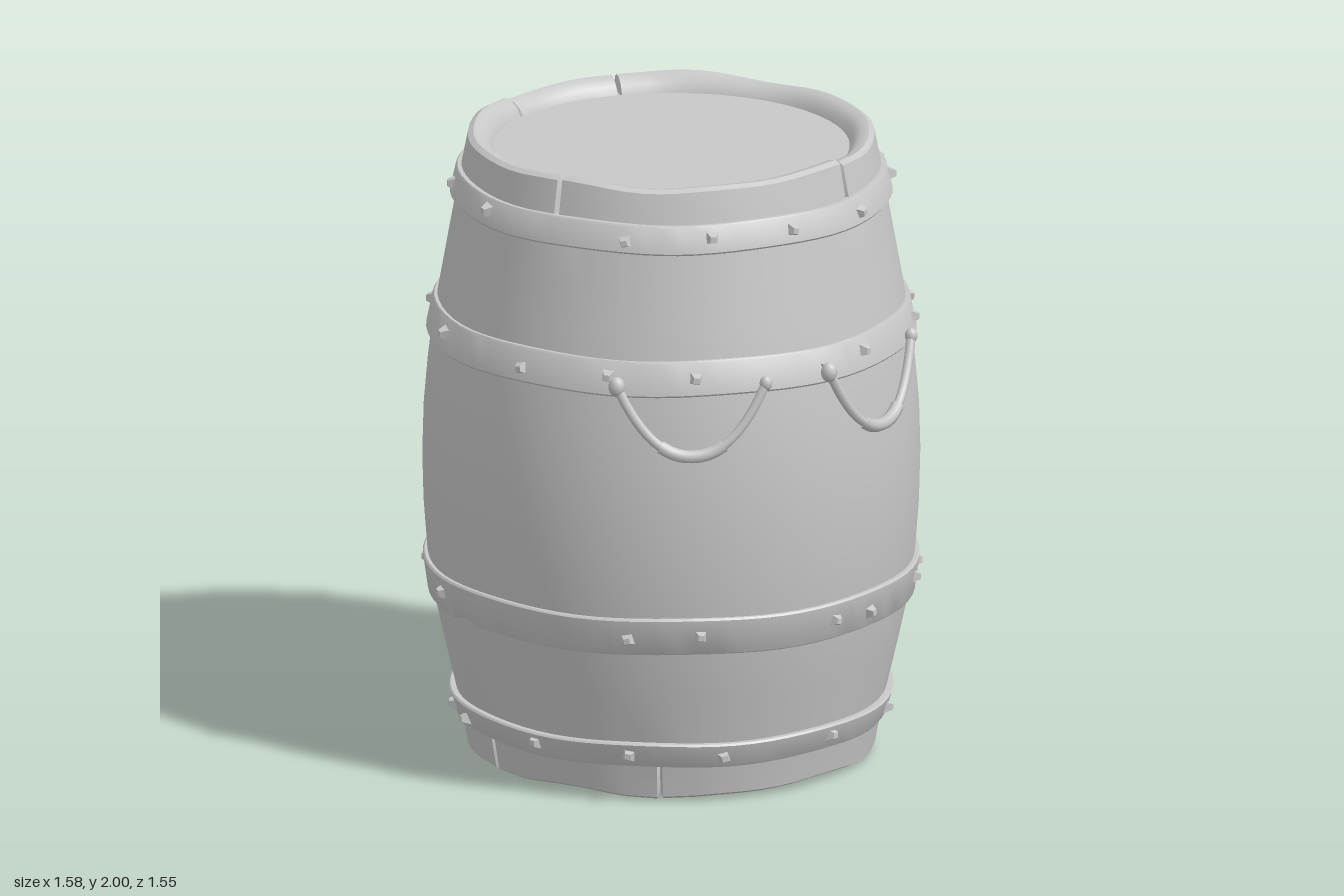
import * as THREE from 'three';
import { toCreasedNormals } from 'three/addons/utils/BufferGeometryUtils.js';

const SEG = 72;
const rad = THREE.MathUtils.degToRad;
const gray = new THREE.MeshStandardMaterial({ color: 0xc8c8c8 });
gray.name = 'plain gray';

// Angles are measured from +x towards +z, in degrees.
const polar = (a, r, y) => new THREE.Vector3(r * Math.cos(rad(a)), y, r * Math.sin(rad(a)));

function addMesh(parent, name, geometry) {
  const mesh = new THREE.Mesh(geometry, gray);
  mesh.name = name;
  parent.add(mesh);
  return mesh;
}

// Turns a profile, then moves each vertex by a rule on its polar coordinates.
function turned(profile, rule) {
  const geo = new THREE.LatheGeometry(profile.map(p => new THREE.Vector2(...p)), SEG);
  const pos = geo.attributes.position;
  for (let i = 0; i < pos.count; i++) {
    const x = pos.getX(i), z = pos.getZ(i);
    const v = { a: THREE.MathUtils.radToDeg(Math.atan2(z, x)), r: Math.hypot(x, z), y: pos.getY(i) };
    rule(v);
    const p = polar(v.a, v.r, v.y);
    pos.setXYZ(i, p.x, p.y, p.z);
  }
  return toCreasedNormals(geo, 0.6);
}

const angleGap = (a, b) => ((a - b + 540) % 360) - 180;

// Uneven stave ends with narrow splits between some staves.
const splits = { top: [-140, 180, 90, 0], bottom: [60, 115, -30, -95] };
function wearStaves(v) {
  const isTop = v.y > 1.87, isBottom = v.y < 0.13;
  if (!isTop && !isBottom) return;
  const wave = 0.006 * Math.sin(rad(v.a * 5)) + 0.004 * Math.sin(rad(v.a * 9 + 40));
  if (v.y > 1.96 || v.y < 0.05) v.y += wave;
  for (const s of isTop ? splits.top : splits.bottom) {
    const d = angleGap(v.a, s);
    if (Math.abs(d) < 1) {
      v.r += v.r > 0.6 ? -0.02 : 0.006;
      if (v.y > 1.96) v.y -= 0.02;
      if (v.y < 0.05) v.y += 0.02;
    } else if (Math.abs(d) < 6) {
      v.a = s + Math.sign(d) * 0.8;
    }
  }
}

// Iron hoop: bottom and top height, bottom and top radius, rivet angles.
const hoops = [
  { y: [0.12, 0.2], r: [0.67, 0.692], rivets: [164, 137, 126, 95, 68, 43, 10, -22, -46, -73, -105, -135, -165] },
  { y: [0.51, 0.63], r: [0.757, 0.772], rivets: [156, 125, 67, 50, 15, 3, -24, -40, -66, -100, -130, -165] },
  { y: [1.35, 1.46], r: [0.762, 0.742], rivets: [157, 126, 95, 72, 51, 17, 4, -29, -46, -77, -105, -135, -165] },
  { y: [1.79, 1.88], r: [0.688, 0.67], rivets: [142, 114, 69, 46, 23, -3, -35, -53, -80, -110, -140, -170] },
];

function addHoop(parent, { y: [y0, y1], r: [r0, r1], rivets }, index) {
  const hoop = new THREE.Group();
  hoop.name = 'hoop' + (index + 1);
  parent.add(hoop);
  const profile = [[r0 - 0.05, y0], [r0 - 0.005, y0], [r0, y0 + 0.006],
    [r1, y1 - 0.006], [r1 - 0.005, y1], [r1 - 0.05, y1]];
  addMesh(hoop, 'hoopBand', turned(profile, v => {
    v.y += 0.003 * Math.sin(rad(v.a * 7 + index * 80));
    // Chipped lower edge
    if (index === 1 && v.y < y0 + 0.02 && Math.abs(angleGap(v.a, 115)) < 4) v.y += 0.015;
  }));
  // Hammered four-sided rivets
  const rivetGeo = toCreasedNormals(new THREE.CylinderGeometry(0.013, 0.031, 0.034, 4).rotateY(Math.PI / 4).rotateX(Math.PI / 2), 0.3);
  rivets.forEach((a, i) => {
    const rivet = addMesh(hoop, 'rivet', rivetGeo);
    rivet.position.copy(polar(a, (r0 + r1) / 2 + 0.003, (y0 + y1) / 2 + 0.008 * Math.sin(i * 2.3)));
    rivet.rotation.set(0, Math.PI / 2 - rad(a), 0.25 * Math.sin(i * 4.1), 'YXZ');
  });
}

// Rope handle hanging from the upper middle hoop
function addHandle(parent, centre) {
  const handle = new THREE.Group();
  handle.name = 'ropeHandle';
  parent.add(handle);
  const point = s => polar(centre + 17.5 * s, 0.782 - 0.008 * s * s, 1.165 + 0.22 * Math.pow(Math.abs(s), 2.2));
  const arc = (from, to, n) => new THREE.CatmullRomCurve3(
    Array.from({ length: n + 1 }, (_, i) => point(from + (to - from) * i / n)));
  addMesh(handle, 'rope', new THREE.TubeGeometry(arc(-1, 1, 12), 32, 0.015, 8));
  addMesh(handle, 'grip', new THREE.TubeGeometry(arc(-0.42, 0.42, 6), 14, 0.021, 8));
  for (const s of [-1, 1]) {
    const knot = addMesh(handle, 'knot', new THREE.SphereGeometry(s > 0 ? 0.026 : 0.02, 10, 8));
    knot.position.copy(point(s));
    knot.scale.y = 1.25;
  }
}

export function createModel() {
  const barrel = new THREE.Group();
  barrel.name = 'barrel';
  const body = new THREE.Group();
  body.name = 'body';
  body.position.set(-0.015, -0.0, -0.01);
  barrel.add(body);

  // Bulging staves with rounded rims folding inwards at both ends
  addMesh(body, 'staves', turned([
    [0.545, 0.12], [0.55, 0.08], [0.565, 0.04], [0.59, 0.02], [0.615, 0.012], [0.634, 0.022],
    [0.652, 0.12], [0.67, 0.2], [0.705, 0.35], [0.738, 0.5], [0.758, 0.64], [0.77, 0.8],
    [0.774, 0.95], [0.77, 1.1], [0.757, 1.25], [0.738, 1.4], [0.713, 1.54], [0.688, 1.68],
    [0.668, 1.79], [0.652, 1.88], [0.632, 1.98], [0.615, 1.99], [0.59, 1.985], [0.567, 1.965],
    [0.55, 1.93], [0.545, 1.89],
  ], wearStaves));

  // Flat heads set into each end
  const lid = addMesh(body, 'topHead', new THREE.CylinderGeometry(0.555, 0.555, 0.03, 48));
  lid.position.y = 1.925;
  const base = addMesh(body, 'bottomHead', new THREE.CylinderGeometry(0.555, 0.555, 0.03, 48));
  base.position.y = 0.085;

  hoops.forEach((h, i) => addHoop(body, h, i));
  for (const a of [0, 52]) addHandle(body, a);
  return barrel;
}
